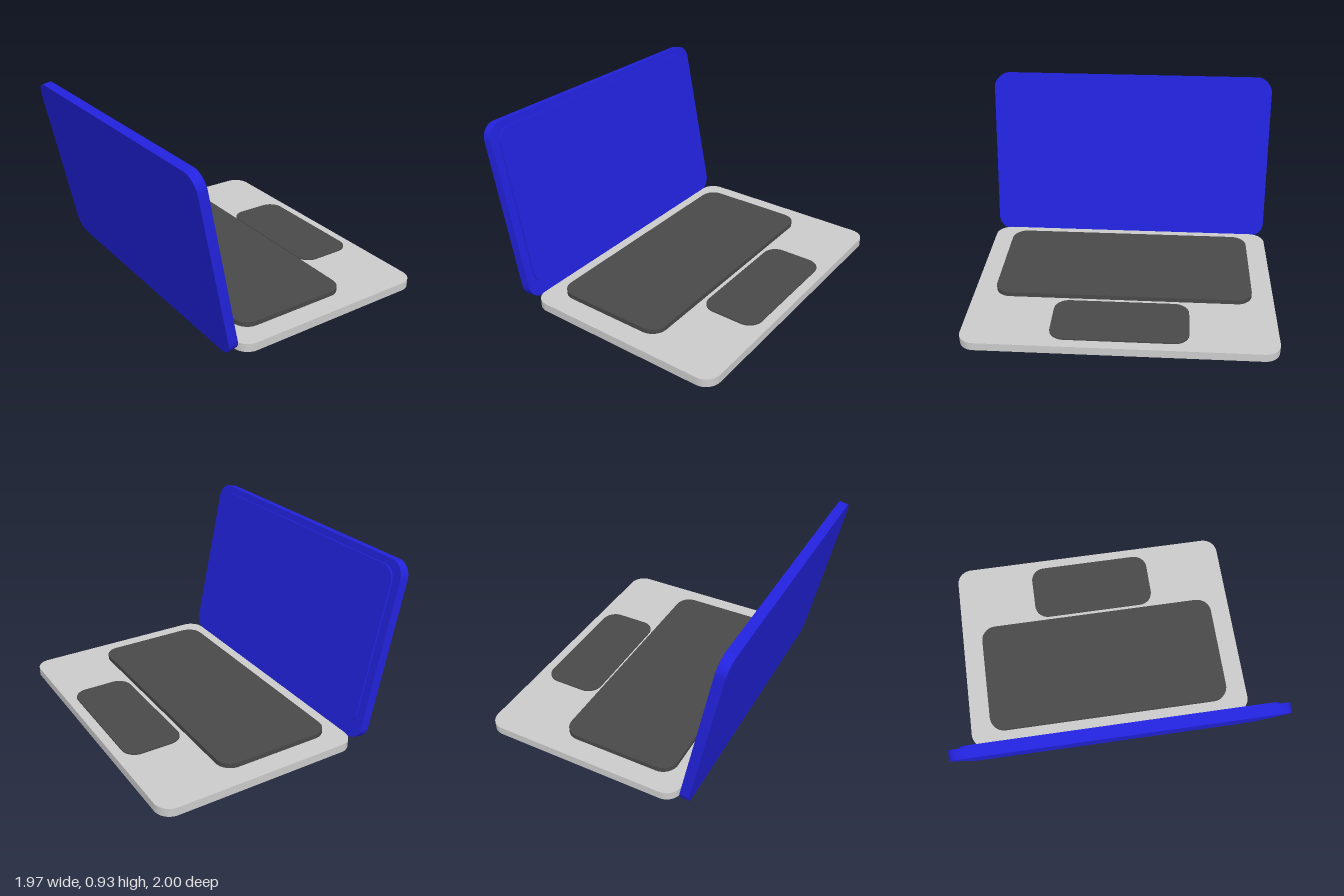
import * as THREE from 'three';
import { toCreasedNormals } from 'three/addons/utils/BufferGeometryUtils.js';

const grey = new THREE.MeshStandardMaterial({ color: 0xcccccc });
const dark = new THREE.MeshStandardMaterial({ color: 0x494949 });
const blue = new THREE.MeshStandardMaterial({ color: 0x2222dd });

// Rounded slab: w by h in the xy plane, standing on y = 0, extruded along +z
function slab(name, w, h, depth, r, material) {
  const a = w / 2;
  const s = new THREE.Shape();
  s.moveTo(-a + r, 0);
  s.lineTo(a - r, 0);
  s.absarc(a - r, r, r, -Math.PI / 2, 0);
  s.absarc(a - r, h - r, r, 0, Math.PI / 2);
  s.absarc(-a + r, h - r, r, Math.PI / 2, Math.PI);
  s.absarc(-a + r, r, r, Math.PI, Math.PI * 1.5);
  const geo = new THREE.ExtrudeGeometry(s, { depth, bevelEnabled: false, curveSegments: 10 });
  const mesh = new THREE.Mesh(toCreasedNormals(geo, 0.6), material);
  mesh.name = name;
  return mesh;
}

// Slab lying flat, from z0 (hinge side) to z1 (user side), bottom at y
function flat(name, w, z0, z1, y, thick, r, material) {
  const mesh = slab(name, w, z1 - z0, thick, r, material);
  mesh.rotation.x = -Math.PI / 2;
  mesh.position.set(0, y, z1);
  return mesh;
}

export function createModel() {
  const model = new THREE.Group();
  model.name = 'laptop';

  // Local +z points from the hinge to the user; the whole laptop is turned
  const body = new THREE.Group();
  body.name = 'body';
  body.rotation.y = THREE.MathUtils.degToRad(129.8);
  model.add(body);

  // Base with raised keyboard and touchpad
  body.add(
    flat('base', 1.556, -0.402, 0.674, 0, 0.043, 0.08, grey),
    flat('keyboard', 1.335, -0.325, 0.288, 0.04, 0.028, 0.08, dark),
    flat('touchpad', 0.685, 0.313, 0.623, 0.04, 0.01, 0.075, dark),
  );

  // Lid leaning back, with a thin raised screen on its inner face
  const lid = new THREE.Group();
  lid.name = 'lid';
  lid.position.set(0, 0.012, -0.465);
  lid.rotation.x = THREE.MathUtils.degToRad(-11.2);
  const shell = slab('lidShell', 1.558, 0.93, 0.048, 0.08, blue);
  const screen = slab('screen', 1.468, 0.825, 0.012, 0.07, blue);
  screen.position.set(0, 0.07, 0.046);
  lid.add(shell, screen);
  body.add(lid);

  return model;
}
